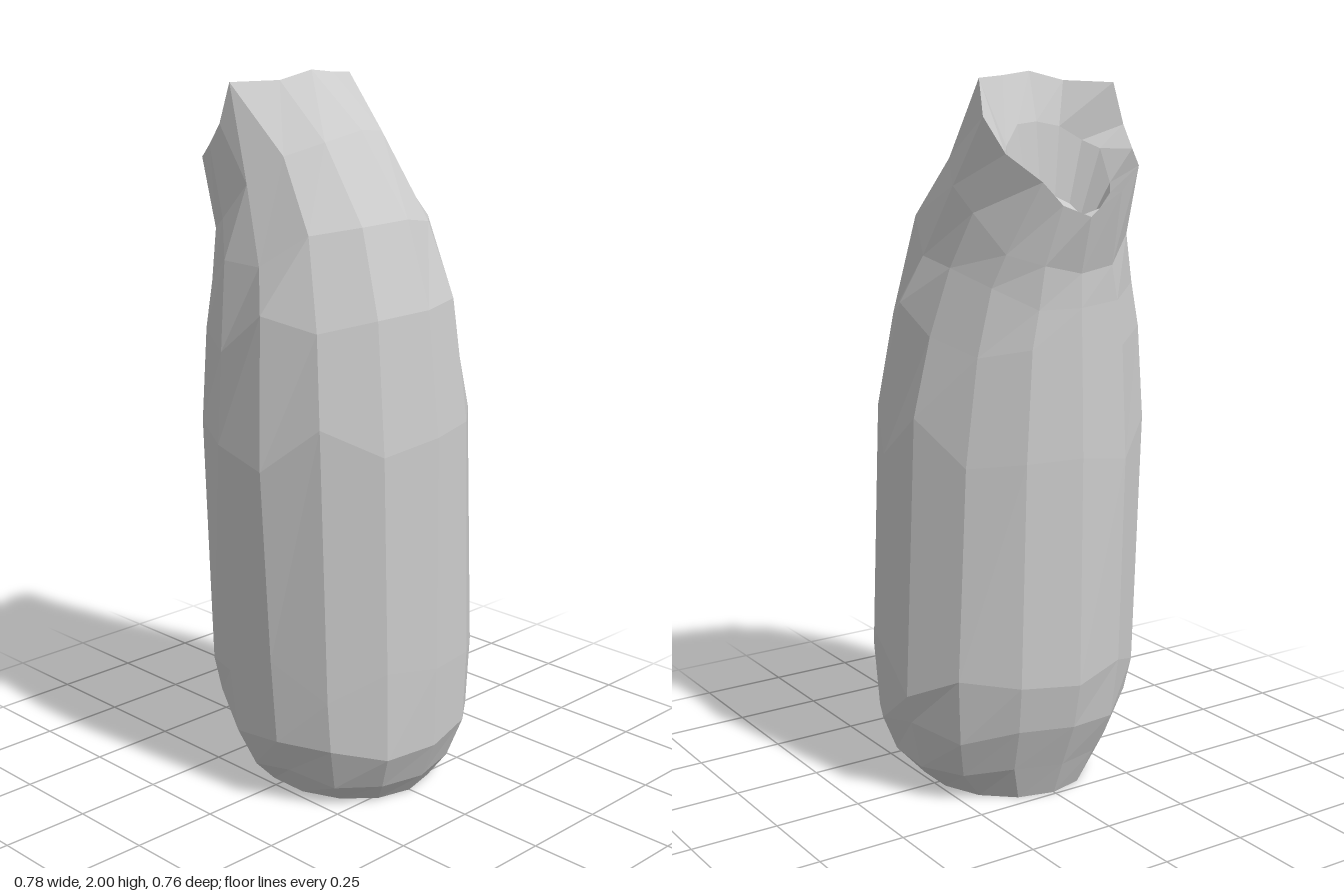
import * as THREE from 'three';

const SIDES = 14;

// One tilted oval section: right end (xR, yR), left end (xL, yL), front and back reach in z.
// "wobble" shifts the corners up and down for a hand-cut, faceted look.
function section([xR, yR, xL, yL, zF, zB], wobble = 0, phase = 0) {
  return Array.from({ length: SIDES }, (_, k) => {
    const a = (k / SIDES) * Math.PI * 2;
    const c = Math.cos(a), s = Math.sin(a);
    const y = (yR + yL) / 2 + c * (yR - yL) / 2 + wobble * Math.sin(k * 2.4 + phase) * Math.abs(s);
    return new THREE.Vector3((xR + xL) / 2 + c * (xR - xL) / 2, y, s * (s > 0 ? zF : -zB));
  });
}

// Skin over successive sections, optionally closed at either end
function loft(name, rings, material, capStart, capEnd) {
  const pts = [];
  const tri = (...p) => p.forEach((v) => pts.push(v.x, v.y, v.z));
  const centre = (r) => r.reduce((sum, v) => sum.add(v), new THREE.Vector3()).divideScalar(r.length);
  for (let k = 0; k < SIDES; k++) {
    const n = (k + 1) % SIDES;
    for (let i = 0; i < rings.length - 1; i++) {
      const lo = rings[i], hi = rings[i + 1];
      tri(lo[k], hi[k], lo[n]);
      tri(lo[n], hi[k], hi[n]);
    }
    const first = rings[0], last = rings[rings.length - 1];
    if (capStart) tri(centre(first), first[k], first[n]);
    if (capEnd) tri(centre(last), last[n], last[k]);
  }
  const geo = new THREE.BufferGeometry();
  geo.setAttribute('position', new THREE.Float32BufferAttribute(pts, 3));
  geo.computeVertexNormals();
  const mesh = new THREE.Mesh(geo, material);
  mesh.name = name;
  return mesh;
}

export function createModel() {
  const group = new THREE.Group();
  group.name = 'bentVessel';
  const material = new THREE.MeshStandardMaterial({ color: 0xcccccc, flatShading: true });

  // Ragged rim, counted from its high right end round the front
  const rim = [
    [-0.09, 2.0, 0.01], [-0.12, 1.975, 0.1], [-0.21, 1.97, 0.2], [-0.23, 1.86, 0.22],
    [-0.29, 1.8, 0.205], [-0.345, 1.76, 0.185], [-0.385, 1.7, 0.1], [-0.39, 1.64, 0],
    [-0.365, 1.67, -0.07], [-0.345, 1.73, -0.12], [-0.28, 1.8, -0.19], [-0.19, 1.89, -0.2],
    [-0.125, 1.985, -0.17], [-0.1, 1.99, -0.08],
  ].map((p) => new THREE.Vector3(...p));

  // Outer body: flat foot, rounded heel, straight wall, shoulder leaning towards the mouth
  const body = [
    section([0.29, 0, -0.24, 0, 0.23, -0.24]),
    section([0.335, 0.06, -0.28, 0.1, 0.295, -0.325], 0.02, 1),
    section([0.383, 0.17, -0.335, 0.23, 0.35, -0.365], 0.03, 2),
    section([0.386, 0.4, -0.362, 0.36, 0.362, -0.388], 0.07, 0),
    section([0.38, 1.06, -0.365, 1.0, 0.39, -0.357], 0.08, 3),
    section([0.34, 1.4, -0.357, 1.27, 0.363, -0.31], 0.05, 1),
    section([0.26, 1.63, -0.352, 1.4, 0.32, -0.262], 0.03, 4),
    section([0.09, 1.85, -0.35, 1.49, 0.265, -0.23], 0.02, 2),
    rim,
  ];
  group.add(loft('body', body, material, true, false));

  // Hollow narrowing down inside the mouth
  const hollow = [
    rim,
    section([-0.14, 1.87, -0.345, 1.64, 0.155, -0.155], 0.02, 1),
    section([-0.16, 1.68, -0.29, 1.54, 0.1, -0.1]),
  ];
  group.add(loft('mouthHollow', hollow, material, false, true));
  return group;
}
